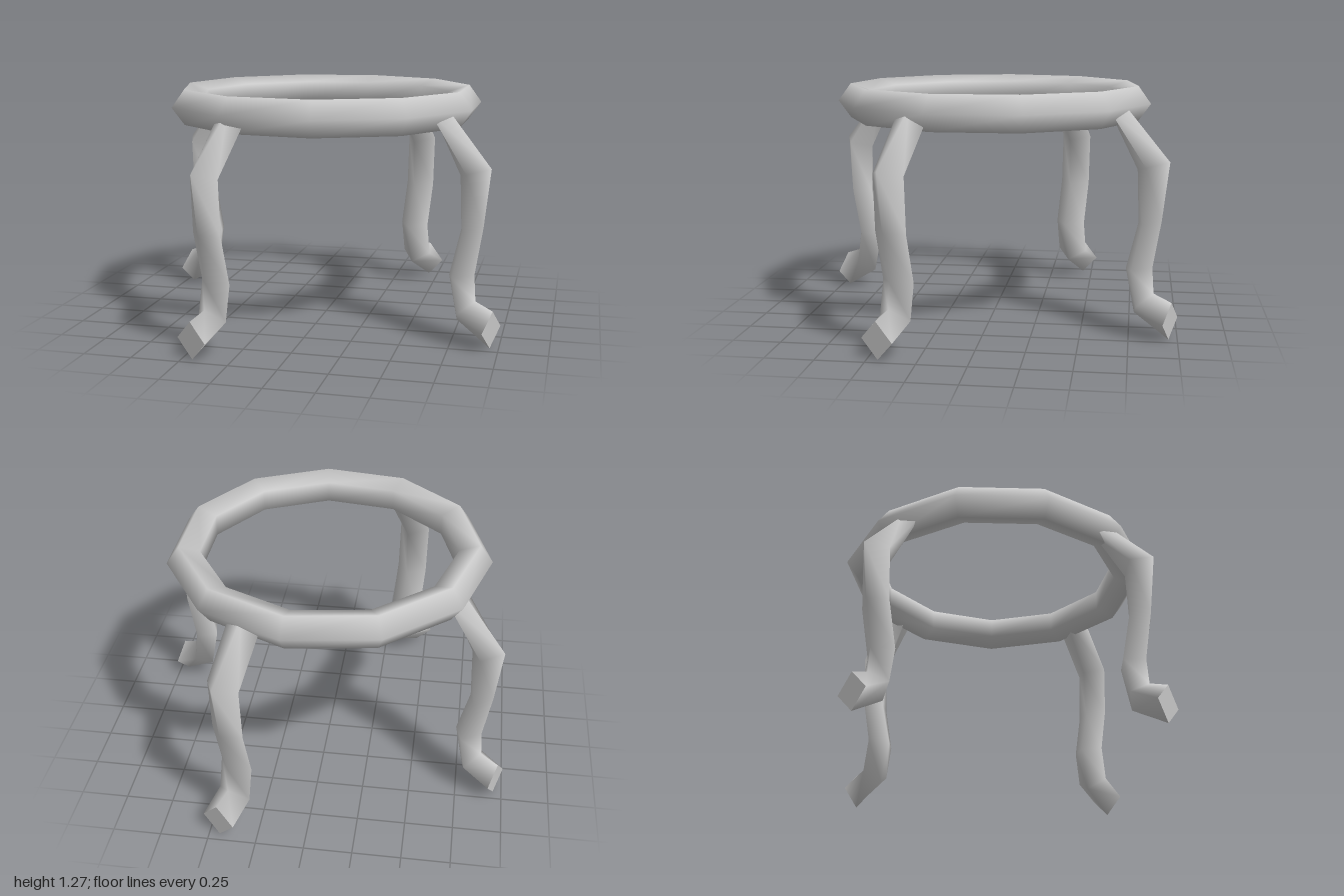
import * as THREE from 'three';

const LEG_ANGLE = THREE.MathUtils.degToRad(25);
const HALF_WIDTH = 0.094;

// Leg cross-sections from top to toe: outer ridge (r, y), inner ridge (r, y)
const SECTIONS = [
  [0.78, 1.195, 0.69, 1.17],
  [1.037, 0.92, 0.86, 0.87],
  [1.0, 0.62, 0.872, 0.6],
  [0.955, 0.37, 0.806, 0.35],
  [0.965, 0.235, 0.857, 0.12],
  [1.066, 0.2, 1.054, 0.005],
];

// Four-sided bent leg in its own radial plane (x = distance from the centre)
function legGeometry() {
  const points = [];
  const index = [];
  const ring = ([ro, yo, ri, yi]) => {
    const r = (ro + ri) / 2, y = (yo + yi) / 2;
    points.push(ro, yo, 0, r, y, HALF_WIDTH, ri, yi, 0, r, y, -HALF_WIDTH);
  };
  SECTIONS.forEach(ring);
  for (let i = 0; i < SECTIONS.length - 1; i++) {
    for (let j = 0; j < 4; j++) {
      const a = i * 4 + j, b = i * 4 + (j + 1) % 4;
      index.push(a, b, a + 4, b, b + 4, a + 4);
    }
  }
  // flat toe end with its own vertices
  const cap = points.length / 3;
  ring(SECTIONS[SECTIONS.length - 1]);
  index.push(cap, cap + 1, cap + 2, cap, cap + 2, cap + 3);

  const geometry = new THREE.BufferGeometry();
  geometry.setAttribute('position', new THREE.Float32BufferAttribute(points, 3));
  geometry.setIndex(index);
  geometry.computeVertexNormals();
  return geometry;
}

export function createModel() {
  const group = new THREE.Group();
  group.name = 'ringStand';
  const material = new THREE.MeshStandardMaterial({ color: 0xcccccc, side: THREE.DoubleSide });

  // Top ring: eleven segments with a five-sided section, one corner pointing outward
  const ringGeometry = new THREE.TorusGeometry(0.753, 0.097, 5, 11);
  ringGeometry.rotateX(Math.PI / 2).rotateY(Math.PI);
  const topRing = new THREE.Mesh(ringGeometry, material);
  topRing.name = 'topRing';
  topRing.position.y = 1.182;
  group.add(topRing);

  // Four identical legs, a quarter turn apart
  const geometry = legGeometry();
  ['leftLeg', 'backLeg', 'rightLeg', 'frontLeg'].forEach((name, i) => {
    const leg = new THREE.Mesh(geometry, material);
    leg.name = name;
    leg.rotation.y = i * Math.PI / 2 - LEG_ANGLE;
    group.add(leg);
  });
  return group;
}
